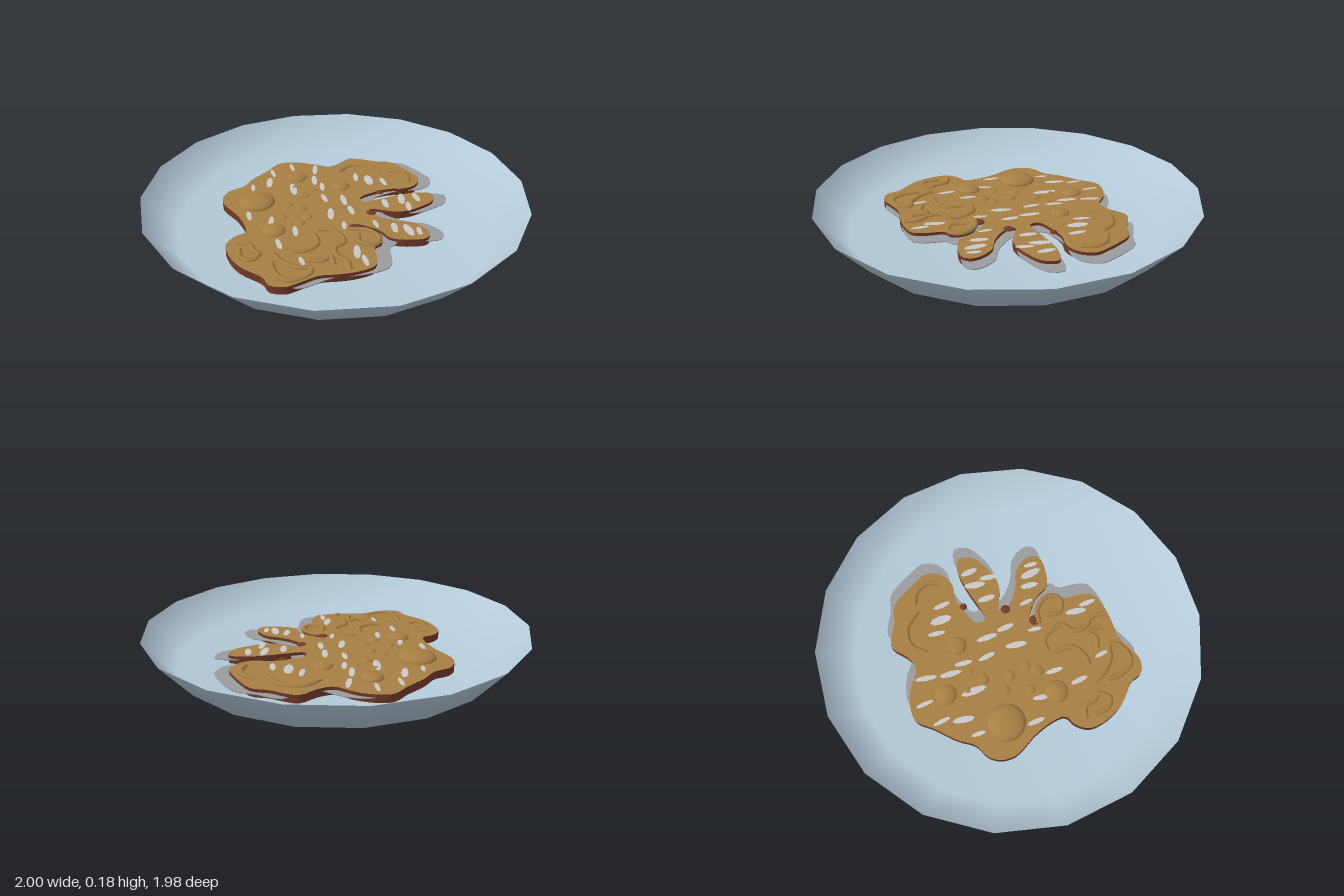
import * as THREE from 'three';

const mat = (name, color, side = THREE.FrontSide) => {
  const m = new THREE.MeshStandardMaterial({ color, side });
  m.name = name;
  return m;
};

// Outline of the growth as x, z pairs
const OUTLINE = [
  -0.26, -0.57, -0.2, -0.6, -0.12, -0.62, -0.04, -0.66, 0.06, -0.64, 0.14, -0.61, 0.2, -0.58, 0.23, -0.5,
  0.2, -0.42, 0.13, -0.37, 0.08, -0.3, 0.04, -0.2, 0.08, -0.17, 0.13, -0.23, 0.2, -0.33, 0.27, -0.41,
  0.35, -0.45, 0.39, -0.38, 0.37, -0.3, 0.33, -0.22, 0.28, -0.17, 0.15, -0.12, 0.16, -0.09, 0.25, -0.08,
  0.32, -0.09, 0.4, -0.12, 0.47, -0.11, 0.52, -0.08, 0.53, -0.03, 0.47, 0.03, 0.38, 0.07, 0.3, 0.04,
  0.22, 0.04, 0.15, 0.06, 0.16, 0.1, 0.25, 0.06, 0.32, 0.08, 0.36, 0.13, 0.35, 0.18, 0.4, 0.25,
  0.43, 0.32, 0.38, 0.41, 0.32, 0.47, 0.25, 0.53, 0.2, 0.63, 0.17, 0.68, 0.1, 0.71, 0.04, 0.68,
  -0.1, 0.67, -0.2, 0.63, -0.28, 0.56, -0.29, 0.48, -0.27, 0.42, -0.33, 0.36, -0.42, 0.31, -0.55, 0.26,
  -0.6, 0.2, -0.61, 0.13, -0.58, 0.05, -0.59, -0.05, -0.58, -0.18, -0.58, -0.28, -0.54, -0.33, -0.44, -0.38,
  -0.32, -0.4, -0.28, -0.47,
];

const TOP = 0.046;

const curveFrom = (flat, closed, y = 0) => {
  const pts = [];
  for (let i = 0; i < flat.length; i += 2) pts.push(new THREE.Vector3(flat[i], y, flat[i + 1]));
  return new THREE.CatmullRomCurve3(pts, closed, 'centripetal');
};

// Flat slab lying on the xz plane, its top at the given height
function slab(flat, divisions, top, depth, materials) {
  const pts = curveFrom(flat, true).getPoints(divisions).slice(0, -1);
  const shape = new THREE.Shape(pts.map((p) => new THREE.Vector2(p.x, p.z)));
  const geo = new THREE.ExtrudeGeometry(shape, { depth, bevelEnabled: false });
  geo.rotateX(Math.PI / 2);
  const mesh = new THREE.Mesh(geo, materials);
  mesh.position.y = top;
  return mesh;
}

export function createModel() {
  const group = new THREE.Group();
  const glass = mat('paleBlueGlass', 0xb5cbda, THREE.DoubleSide);
  const ochre = mat('ochre', 0xa67f43);
  const rust = mat('rustBrown', 0x743a28);
  const grey = mat('filmGrey', 0x9a9b9d);
  const pale = mat('paleGrey', 0xc8c8c8);

  const add = (name, mesh, parent = group) => {
    mesh.name = name;
    parent.add(mesh);
    return mesh;
  };

  // Shallow eighteen-sided dish, smooth from floor to wall
  const profile = [[0, 0], [0.84, 0], [1, 0.18]].map(([r, y]) => new THREE.Vector2(r, y));
  add('dish', new THREE.Mesh(new THREE.LatheGeometry(profile, 18, THREE.MathUtils.degToRad(7.7)), glass));

  // Growth with rusty rim
  add('growth', slab(OUTLINE, 210, TOP, 0.042, [ochre, rust]));

  // Thin film showing past the growth on one side
  const film = add('film', slab(OUTLINE, 140, 0.03, 0.004, [grey, grey]));
  film.position.x = 0.055;
  film.position.z = -0.05;

  // Low round blisters: x, z, radius
  const blisters = add('blisters', new THREE.Group());
  const dome = new THREE.SphereGeometry(1, 24, 8, 0, Math.PI * 2, 0, Math.PI / 2);
  [
    [-0.41, 0.15, 0.1], [-0.16, 0.33, 0.062], [-0.39, -0.2, 0.058], [-0.12, -0.25, 0.05],
    [-0.24, -0.05, 0.03], [-0.17, 0.07, 0.03], [-0.25, 0.08, 0.025], [-0.09, 0.2, 0.03],
    [-0.33, -0.1, 0.02], [-0.23, -0.13, 0.02], [-0.09, 0.13, 0.025], [-0.2, 0.2, 0.025],
  ].forEach(([x, z, r]) => {
    const m = add('blister', new THREE.Mesh(dome, ochre), blisters);
    m.position.set(x, TOP - 0.001, z);
    m.scale.set(r, r * 0.35, r);
  });

  // Folded ridges on the lobes
  const ridges = add('ridges', new THREE.Group());
  [
    [-0.24, 0.52, -0.18, 0.5, -0.13, 0.53, -0.09, 0.54, -0.09, 0.6, -0.14, 0.61, -0.2, 0.56],
    [-0.04, 0.5, 0.04, 0.53, 0.12, 0.53, 0.19, 0.5, 0.2, 0.57, 0.14, 0.64, 0.05, 0.61, 0, 0.56],
    [0.03, 0.21, 0.08, 0.17, 0.16, 0.19, 0.2, 0.23, 0.19, 0.3, 0.24, 0.35, 0.3, 0.36, 0.35, 0.42],
    [0.14, 0.45, 0.2, 0.42, 0.21, 0.37, 0.27, 0.43],
    [0.16, 0.11, 0.24, 0.07, 0.33, 0.1, 0.34, 0.16, 0.27, 0.19, 0.22, 0.13],
    [-0.22, -0.38, -0.21, -0.48, -0.13, -0.54, -0.02, -0.53],
    [0.01, -0.56, 0.08, -0.58, 0.15, -0.55, 0.18, -0.49],
    [0.04, 0.25, 0.1, 0.32, 0.08, 0.4, 0.04, 0.44],
  ].forEach((path) => {
    const geo = new THREE.TubeGeometry(curveFrom(path, false, 0), 32, 0.016, 6);
    const m = add('ridge', new THREE.Mesh(geo, ochre), ridges);
    m.scale.y = 0.7;
    m.position.y = TOP;
  });

  // Rusty spots at the inner ends of the clefts
  [[0.17, -0.09, 0.026], [0.17, 0.08, 0.03], [0.1, -0.31, 0.02]].forEach(([x, z, r]) => {
    const m = add('rustSpot', new THREE.Mesh(dome, rust));
    m.position.set(x, TOP - 0.004, z);
    m.scale.set(r, 0.012, r);
  });

  // Pale slivers on the upper surface: x, z, half length, half width
  const slivers = add('slivers', new THREE.Group());
  const sliver = new THREE.CircleGeometry(1, 8).rotateX(-Math.PI / 2);
  [
    [-0.02, -0.39, 0.06, 0.025], [0.06, -0.42, 0.05, 0.015], [-0.35, -0.33, 0.06, 0.015], [-0.48, -0.28, 0.05, 0.012],
    [-0.32, -0.07, 0.07, 0.02], [-0.48, -0.06, 0.06, 0.018], [-0.53, -0.16, 0.05, 0.012], [-0.28, -0.22, 0.06, 0.016],
    [-0.2, -0.18, 0.05, 0.014], [-0.12, -0.08, 0.05, 0.014], [0, 0.04, 0.06, 0.018], [-0.02, -0.12, 0.06, 0.016],
    [0.07, -0.05, 0.05, 0.016], [0.24, -0.3, 0.06, 0.02], [0.3, -0.36, 0.05, 0.018], [0.19, -0.21, 0.05, 0.018],
    [0.31, -0.25, 0.05, 0.016], [0.42, -0.04, 0.06, 0.022], [0.35, -0.02, 0.05, 0.018], [0.47, -0.06, 0.04, 0.014],
    [0.25, 0, 0.04, 0.012], [0.3, 0.27, 0.06, 0.018], [0.37, 0.31, 0.05, 0.014], [-0.35, 0.29, 0.05, 0.014],
    [-0.22, 0.27, 0.05, 0.014], [-0.06, 0.42, 0.05, 0.014], [-0.06, 0.28, 0.05, 0.014], [0.12, 0.1, 0.04, 0.012],
    [0.12, 0.48, 0.04, 0.012], [-0.1, -0.38, 0.05, 0.014], [-0.52, 0.04, 0.04, 0.012],
  ].forEach(([x, z, l, w], i) => {
    const m = add('sliver', new THREE.Mesh(sliver, pale), slivers);
    m.position.set(x, TOP + 0.004, z);
    m.rotation.y = -0.85 + 0.15 * Math.sin(i * 2.3);
    m.scale.set(l, 1, w);
  });

  return group;
}
